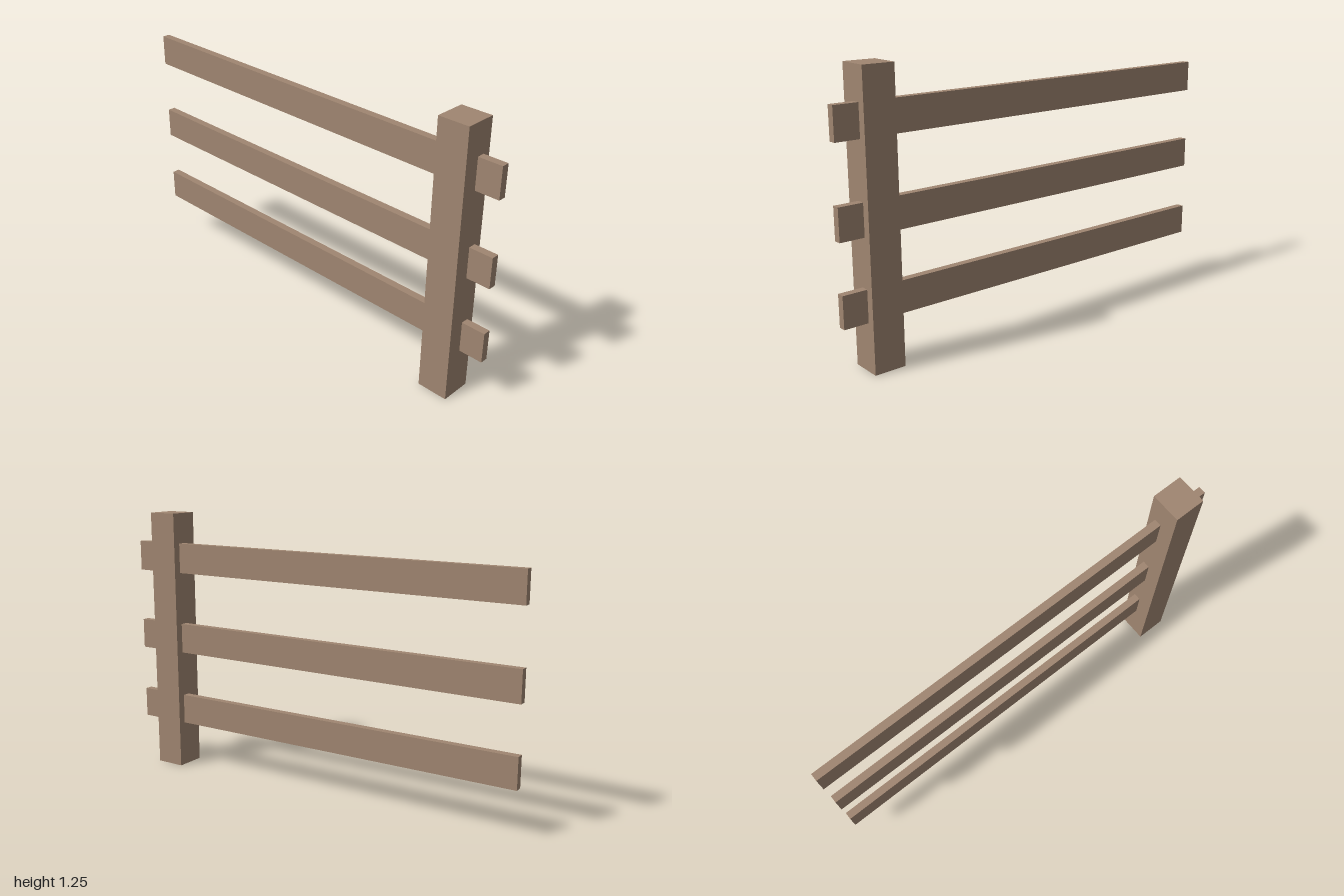
import * as THREE from 'three';

export function createModel() {
  const group = new THREE.Group();
  const wood = new THREE.MeshStandardMaterial({ color: 0xa08671 });
  wood.name = 'wood';

  const addBox = (name, size, position) => {
    const mesh = new THREE.Mesh(new THREE.BoxGeometry(...size), wood);
    mesh.name = name;
    mesh.position.set(...position);
    group.add(mesh);
  };

  // Square upright post
  addBox('post', [0.142, 1.252, 0.142], [0.819, 0.626, 0]);

  // Three horizontal planks running through the post
  const rails = { lowerRail: 0.287, middleRail: 0.645, upperRail: 1.037 };
  for (const [name, y] of Object.entries(rails)) {
    addBox(name, [2, 0.142, 0.035], [0, y, -0.0175]);
  }

  return group;
}
